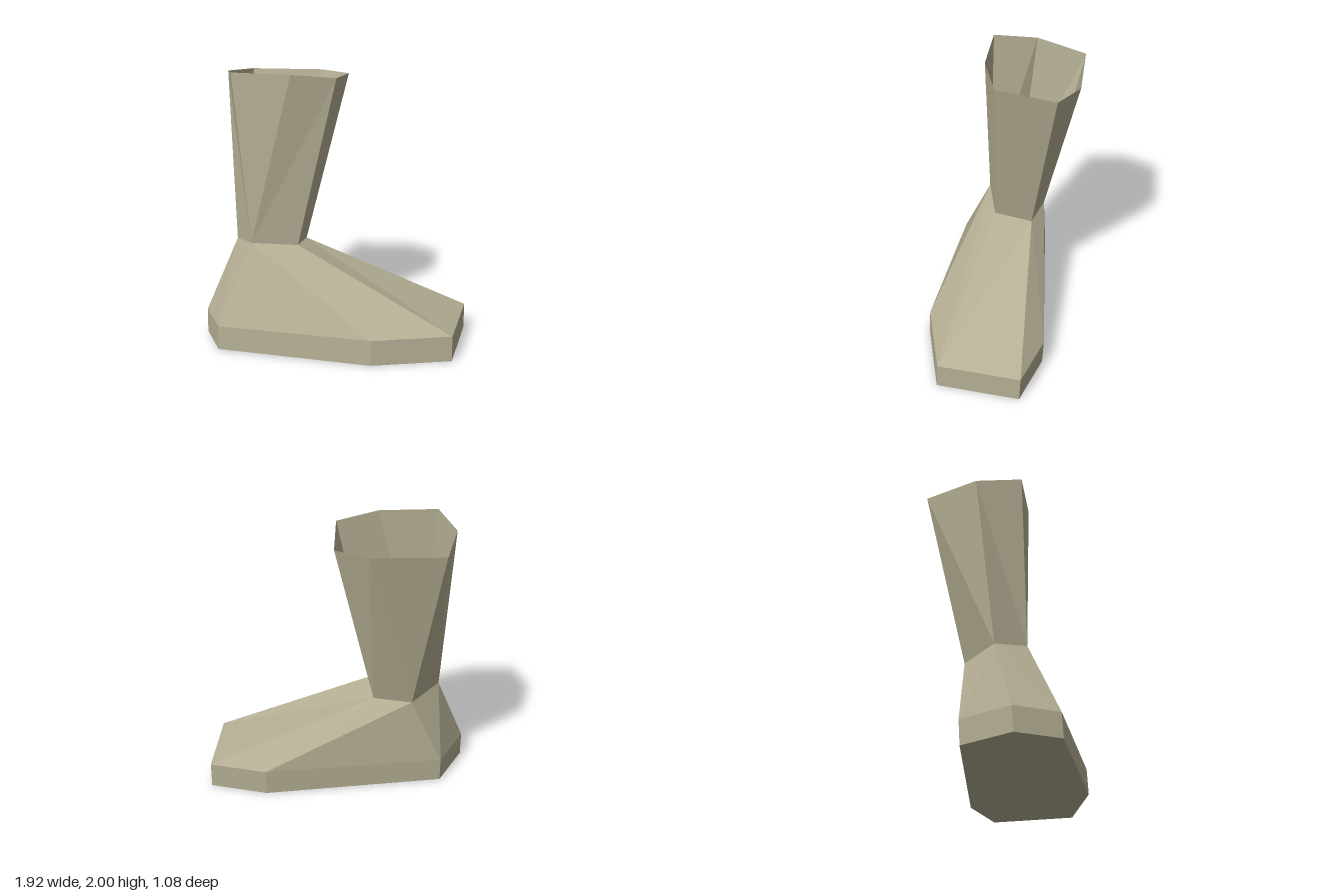
import * as THREE from 'three';

// Closed rings, all running counter-clockwise seen from above
const solePlan = [
  [-0.96, 0.08], [-0.82, 0.385], [0.30, 0.53], [0.87, 0.4],
  [0.96, -0.2], [0.56, -0.34], [-0.74, -0.275],
];
const soleBottom = solePlan.map(([x, z]) => [x, x < -0.5 ? 0.01 : 0, z + 0.01]);
const soleTop = solePlan.map(([x, z]) => [x, 0.187, z]);
const ankle = [
  [-0.74, 0.715, -0.05], [-0.60, 0.755, 0.16], [-0.27, 0.725, 0.09],
  [-0.24, 0.685, -0.19], [-0.51, 0.68, -0.27],
];
const rim = [
  [-0.80, 1.95, -0.18], [-0.72, 2.0, 0.135], [-0.30, 1.995, 0.16], [0.01, 1.96, 0.065],
  [0.06, 1.91, -0.37], [-0.155, 1.905, -0.52], [-0.675, 1.9, -0.54],
];

// Joins two rings with triangles: each step moves on along the lower (l) or upper (u) ring
function stitch(lower, upper, steps) {
  const tris = [];
  let l = 0, u = 0;
  for (const step of steps) {
    const a = lower[l % lower.length], b = upper[u % upper.length];
    const next = step === 'l' ? lower[++l % lower.length] : upper[++u % upper.length];
    tris.push(a, next, b);
  }
  return tris;
}

function facetedMesh(name, points, material) {
  const geometry = new THREE.BufferGeometry();
  geometry.setAttribute('position', new THREE.Float32BufferAttribute(points.flat(), 3));
  geometry.computeVertexNormals();
  const mesh = new THREE.Mesh(geometry, material);
  mesh.name = name;
  return mesh;
}

export function createModel() {
  const leather = new THREE.MeshStandardMaterial({
    color: 0xb5af94, flatShading: true, side: THREE.DoubleSide,
  });
  leather.name = 'khaki leather';

  const underside = [];
  for (let i = 1; i < soleBottom.length - 1; i++) {
    underside.push(soleBottom[0], soleBottom[i + 1], soleBottom[i]);
  }

  const boot = new THREE.Group();
  boot.name = 'boot';
  boot.add(
    facetedMesh('soleUnderside', underside, leather),
    facetedMesh('soleEdge', stitch(soleBottom, soleTop, 'lu'.repeat(7)), leather),
    facetedMesh('footUpper', stitch(soleTop, ankle, 'lulluulllulu'.slice(0, 8) + 'ulul'), leather),
    // Open-topped shaft flaring out from the ankle
    facetedMesh('shaft', stitch(ankle, rim, 'luuulluululu'), leather),
  );
  return boot;
}
